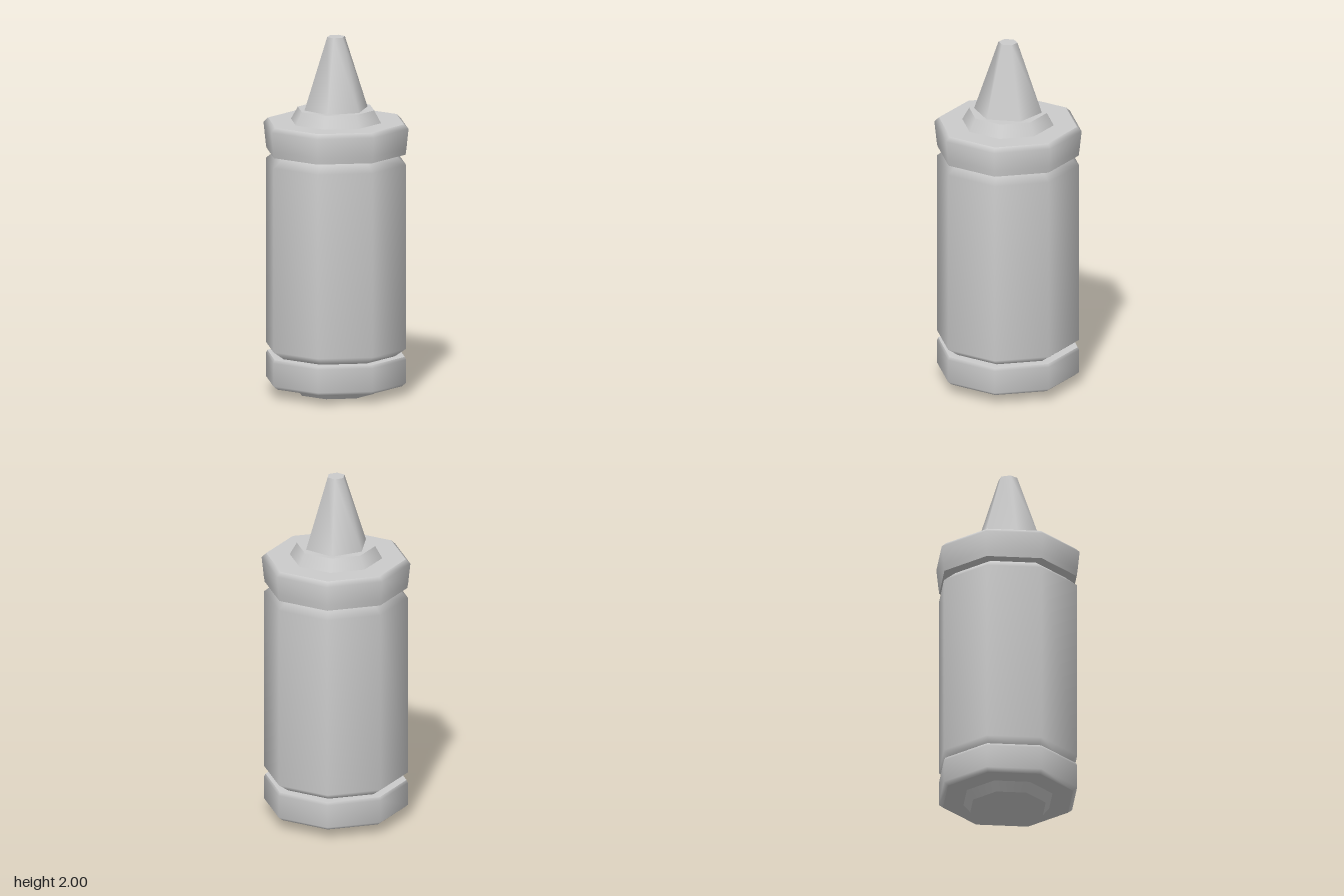
import * as THREE from 'three';
import { mergeGeometries } from 'three/addons/utils/BufferGeometryUtils.js';

const material = new THREE.MeshStandardMaterial({ color: 0xcccccc });

// Revolves each run of [radius, y] points; edges between runs stay sharp.
function turned(name, runs, sides, turn) {
  const parts = runs.map((run) => new THREE.LatheGeometry(
    run.map(([r, y]) => new THREE.Vector2(r, y)), sides, turn));
  const mesh = new THREE.Mesh(mergeGeometries(parts), material);
  mesh.name = name;
  return mesh;
}

export function createModel() {
  const group = new THREE.Group();
  group.name = 'squeezeBottle';
  const turn = 0.142;

  // Small tapered foot under the base
  group.add(turned('foot', [
    [[0, 0], [0.218, 0]],
    [[0.218, 0], [0.257, 0.05]],
  ], 8, turn));

  // Wide bevelled ring at the bottom
  group.add(turned('baseRing', [
    [[0.257, 0.05], [0.375, 0.05]],
    [[0.375, 0.05], [0.4, 0.07], [0.4, 0.2], [0.392, 0.217]],
    [[0.392, 0.217], [0.33, 0.217]],
  ], 8, turn));

  // Main body with chamfered ends
  group.add(turned('body', [
    [[0.335, 0.217], [0.4, 0.262], [0.4, 1.298], [0.33, 1.355]],
  ], 8, turn));

  // Screw cap, flaring slightly towards its top
  group.add(turned('cap', [
    [[0.33, 1.355], [0.397, 1.355]],
    [[0.397, 1.355], [0.402, 1.39], [0.414, 1.5], [0.388, 1.525]],
    [[0.388, 1.525], [0.257, 1.525]],
  ], 8, turn));

  // Collar between cap and nozzle
  group.add(turned('collar', [
    [[0.257, 1.525], [0.218, 1.595]],
    [[0.218, 1.595], [0, 1.595]],
  ], 8, turn));

  // Six-sided nozzle
  const nozzle = turned('nozzle', [
    [[0.178, 1.595], [0.05, 2]],
    [[0.05, 2], [0, 2]],
  ], 6, 0.157);
  nozzle.scale.z = 1.07;
  group.add(nozzle);

  return group;
}
